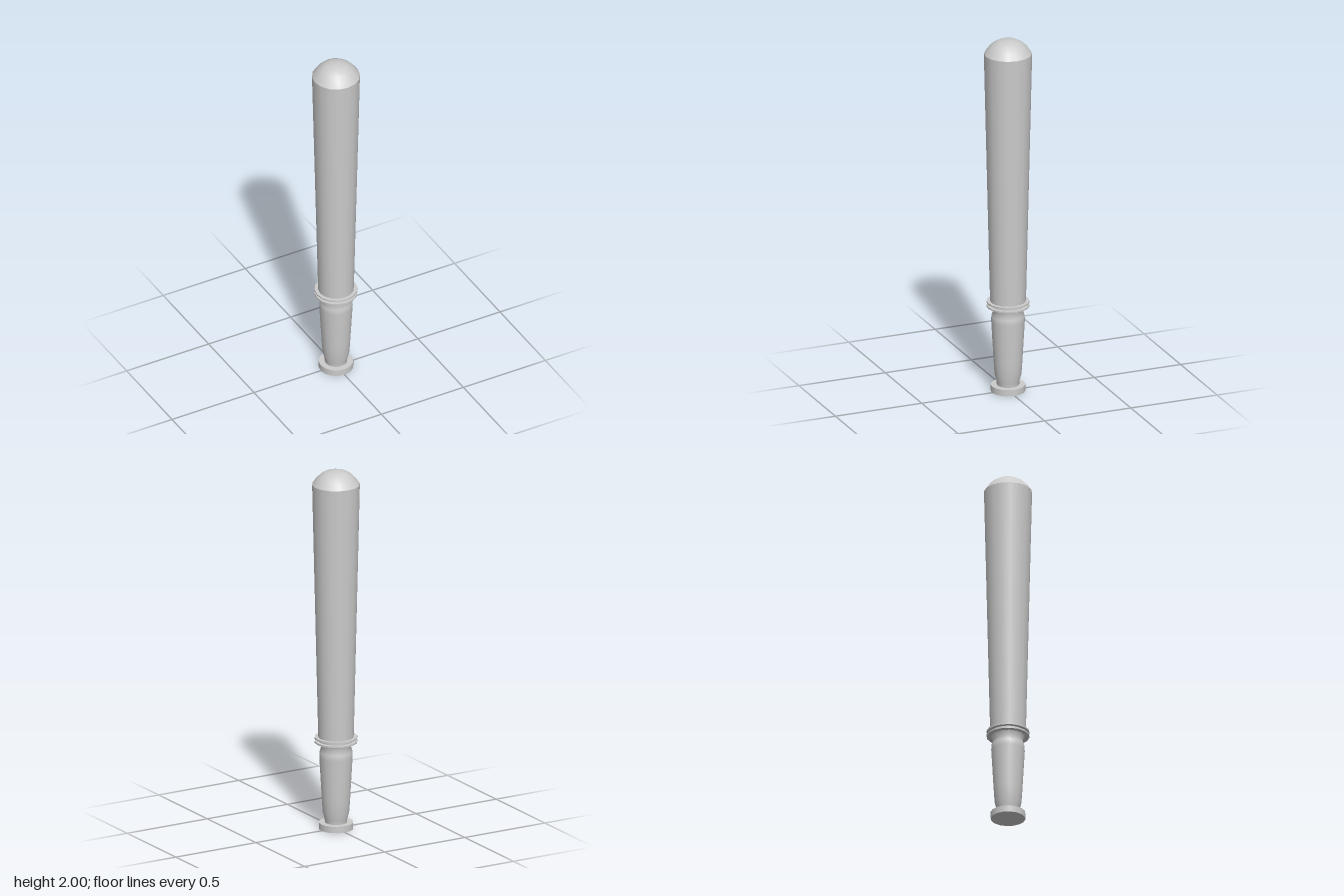
import * as THREE from 'three';

const SIDES = 16;
const material = new THREE.MeshStandardMaterial({ color: 0xcccccc });

export function createModel() {
  const bat = new THREE.Group();
  bat.name = 'bat';

  // Turned part from a [radius, height] profile listed bottom to top
  const turn = (name, profile) => {
    const points = profile.map(([r, y]) => new THREE.Vector2(r, y));
    const mesh = new THREE.Mesh(new THREE.LatheGeometry(points, SIDES), material);
    mesh.name = name;
    bat.add(mesh);
  };

  // Flat disc with crisp edges
  const disc = (name, radius, bottom, top) => {
    const geometry = new THREE.CylinderGeometry(radius, radius, top - bottom, SIDES);
    const mesh = new THREE.Mesh(geometry, material);
    mesh.name = name;
    mesh.position.y = (bottom + top) / 2;
    bat.add(mesh);
  };

  // Knob at the foot of the handle
  disc('knob', 0.093, 0, 0.036);

  // Handle swelling upward, then pinched below the guard
  turn('handle', [
    [0.06, 0.03], [0.061, 0.055], [0.072, 0.095], [0.077, 0.17],
    [0.09, 0.4], [0.089, 0.43], [0.079, 0.458], [0.095, 0.49],
  ]);

  // Pair of thin guard rings
  [0.482, 0.504].forEach((y, i) => disc(i ? 'upperGuardRing' : 'lowerGuardRing', 0.115, y, y + 0.009));

  // Long tapered barrel
  turn('barrel', [[0.095, 0.485], [0.098, 0.6], [0.128, 1.88], [0.129, 1.922]]);

  // Rounded end cap
  turn('endCap', [
    [0.129, 1.922], [0.108, 1.952], [0.085, 1.975], [0.058, 1.991], [0.03, 1.998], [0, 2],
  ]);

  return bat;
}
